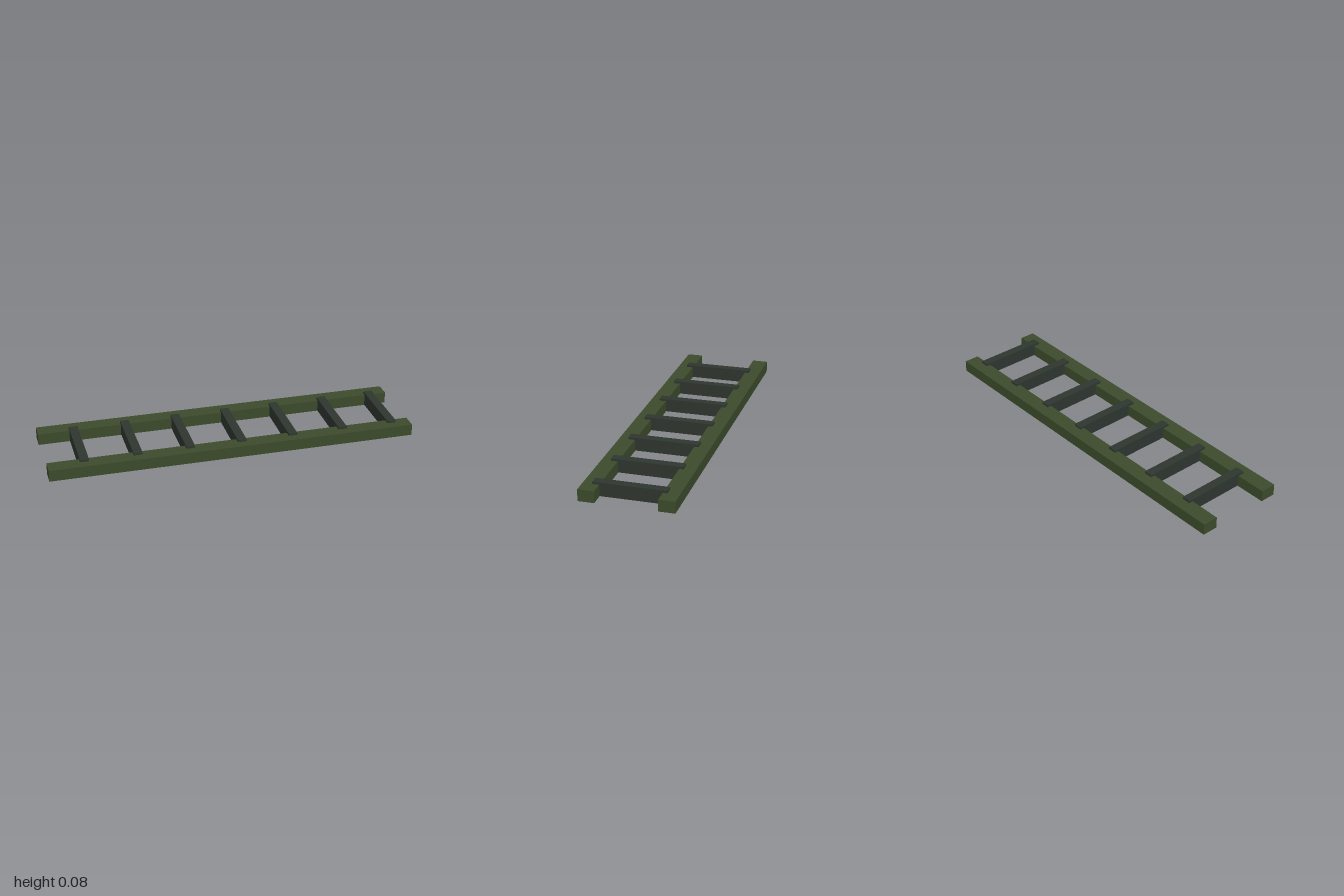
import * as THREE from 'three';

export function createModel() {
  const group = new THREE.Group();
  const railGreen = new THREE.MeshStandardMaterial({ color: 0x3c4a2b });
  railGreen.name = 'olive green';
  const rungGrey = new THREE.MeshStandardMaterial({ color: 0x2e352f });
  rungGrey.name = 'dark grey';

  function addBox(name, material, size, position) {
    const mesh = new THREE.Mesh(new THREE.BoxGeometry(...size), material);
    mesh.name = name;
    mesh.position.set(...position);
    group.add(mesh);
  }

  // Two long side rails
  for (const side of [-1, 1]) {
    addBox(side > 0 ? 'frontRail' : 'backRail', railGreen,
      [2, 0.063, 0.086], [0, 0.0315, side * 0.205]);
  }

  // Seven evenly spaced rungs, set into the rails and standing slightly proud
  for (let i = 0; i < 7; i++) {
    addBox(`rung${i + 1}`, rungGrey,
      [0.048, 0.073, 0.383], [-0.805 + i * 0.284, 0.0385, 0.0065]);
  }

  return group;
}
